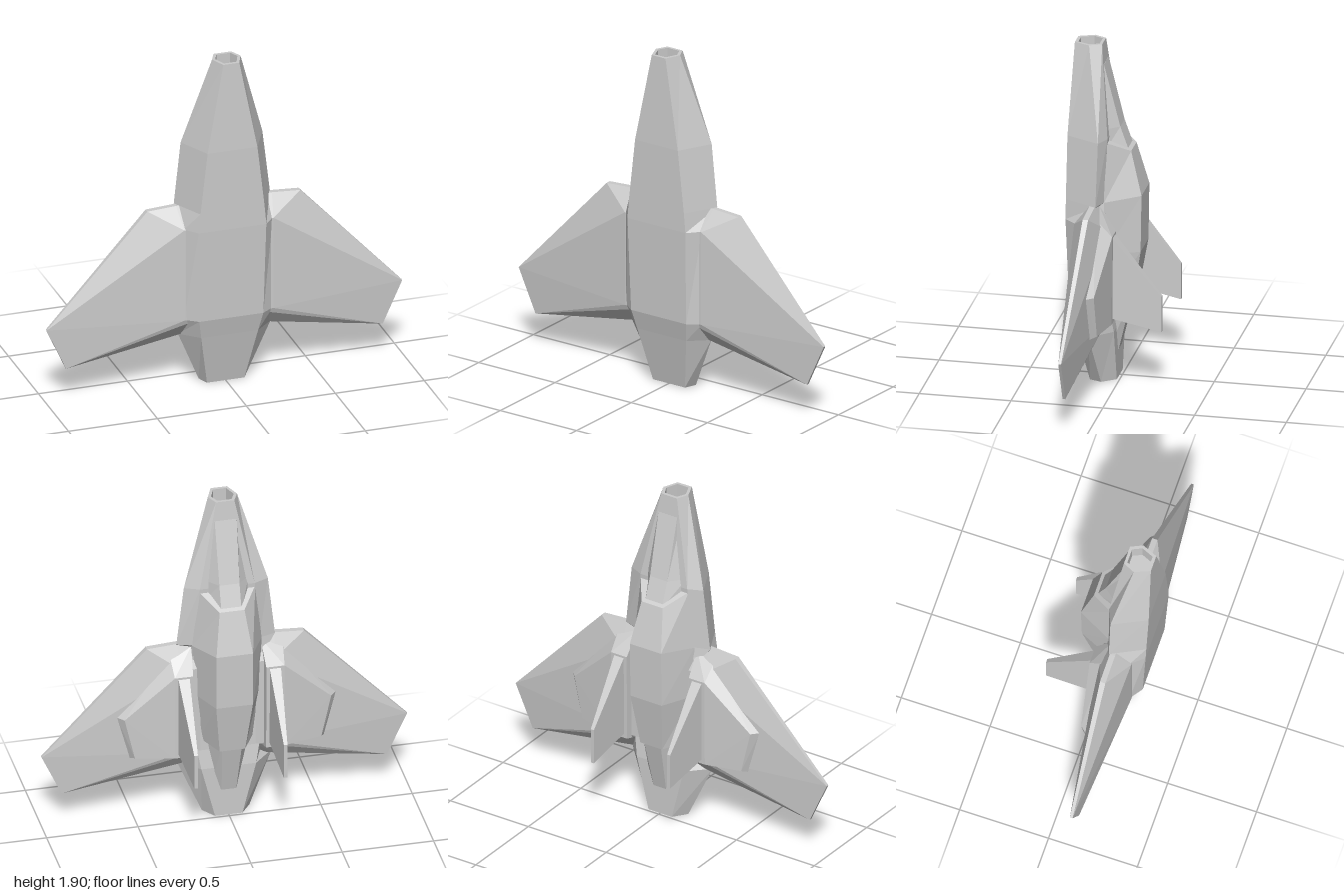
import * as THREE from 'three';
import { ConvexGeometry } from 'three/addons/geometries/ConvexGeometry.js';

const material = new THREE.MeshStandardMaterial({ color: 0xcccccc, flatShading: true });

function part(name, geometry) {
  const mesh = new THREE.Mesh(geometry, material);
  mesh.name = name;
  return mesh;
}

// Skins rings of equal length; each ring runs front, +x side, back, -x side.
function loft(rings) {
  const pos = [];
  const tri = (a, b, c) => pos.push(...a, ...b, ...c);
  const n = rings[0].length;
  for (let i = 0; i < rings.length - 1; i++) {
    for (let j = 0; j < n; j++) {
      const k = (j + 1) % n;
      tri(rings[i][j], rings[i][k], rings[i + 1][k]);
      tri(rings[i][j], rings[i + 1][k], rings[i + 1][j]);
    }
  }
  const first = rings[0], last = rings[rings.length - 1];
  for (let j = 1; j < n - 1; j++) {
    tri(first[0], first[j + 1], first[j]);
    tri(last[0], last[j], last[j + 1]);
  }
  const g = new THREE.BufferGeometry();
  g.setAttribute('position', new THREE.Float32BufferAttribute(pos, 3));
  g.computeVertexNormals();
  return g;
}

// Six-sided section: half-width and z of the front, side and back edges.
const hexRing = (y, f, zf, s, zs, b, zb) => [
  [-f, y, zf], [f, y, zf], [s, y, zs], [b, y, zb], [-b, y, zb], [-s, y, zs],
];

// The same ring shrunk about its centre and moved to another height.
function inset(ring, scale, y) {
  const cz = ring.reduce((sum, p) => sum + p[2], 0) / ring.length;
  return ring.map(([x, , z]) => [x * scale, y, cz + (z - cz) * scale]);
}

// Four-sided section with its own height at the base and at the crest.
const humpRing = (yBase, base, zBase, yTop, top, zTop) => [
  [-base, yBase, zBase], [base, yBase, zBase], [top, yTop, zTop], [-top, yTop, zTop],
];

// Convex solid, mirrored by sign.
const solid = (points, sign) =>
  new ConvexGeometry(points.map(([x, y, z]) => new THREE.Vector3(x * sign, y, z)));

export function createModel() {
  const model = new THREE.Group();
  model.name = 'jet';

  // Fuselage, hollow at the nose tip and the exhaust
  const tail = hexRing(0, 0.105, 0.155, 0.13, 0.09, 0.075, 0.015);
  const nose = hexRing(1.9, 0.045, 0.25, 0.08, 0.165, 0.05, 0.1);
  model.add(part('fuselage', loft([
    inset(tail, 0.82, 0.12),
    inset(tail, 0.82, 0),
    tail,
    hexRing(0.3, 0.16, 0.222, 0.26, 0.13, 0.15, 0.015),
    hexRing(0.41, 0.18, 0.25, 0.25, 0.2, 0.17, 0.03),
    hexRing(0.94, 0.19, 0.27, 0.25, 0.2, 0.19, 0.05),
    hexRing(1.05, 0.18, 0.27, 0.27, 0.09, 0.18, 0.06),
    hexRing(1.4, 0.14, 0.27, 0.23, 0.085, 0.15, 0.05),
    nose,
    inset(nose, 0.78, 1.9),
    inset(nose, 0.78, 1.8),
  ])));

  // Windscreen running down from the nose
  model.add(part('windscreen', loft([
    humpRing(1.3, 0.135, 0.08, 1.3, 0.055, -0.05),
    humpRing(1.44, 0.125, 0.08, 1.44, 0.055, 0.0),
    humpRing(1.79, 0.07, 0.12, 1.79, 0.06, 0.088),
  ])));

  // Dorsal hump with a slanted front rim
  model.add(part('dorsalHump', loft([
    humpRing(0.47, 0.15, 0.06, 0.45, 0.07, -0.07),
    humpRing(0.75, 0.18, 0.06, 0.75, 0.1, -0.12),
    humpRing(1.05, 0.19, 0.06, 1.07, 0.1, -0.125),
    humpRing(1.38, 0.155, 0.06, 1.31, 0.068, -0.062),
  ])));
  model.add(part('tailFairing', loft([
    humpRing(0.16, 0.09, 0.06, 0.16, 0.04, 0.012),
    humpRing(0.48, 0.13, 0.06, 0.48, 0.055, -0.065),
  ])));

  for (const sign of [1, -1]) {
    const side = sign > 0 ? 'left' : 'right';

    // Main wing: thick root tapering to a thin rim
    model.add(part(side + 'Wing', solid([
      [0.25, 0.94, 0.21], [0.25, 0.41, 0.21], [0.15, 0.94, 0.21], [0.15, 0.41, 0.21],
      [0.25, 0.92, 0.03], [0.25, 0.41, 0.03], [0.15, 0.92, 0.03], [0.15, 0.41, 0.03],
      [0.27, 1.05, 0.125], [0.27, 1.05, 0.095], [0.15, 1.05, 0.125], [0.15, 1.05, 0.095],
      [0.43, 1.04, 0.125], [0.43, 1.04, 0.095],
      [1, 0.43, 0.135], [1, 0.43, 0.12], [0.89, 0.19, 0.135], [0.89, 0.19, 0.12],
      [0.26, 0.3, 0.14], [0.26, 0.3, 0.1], [0.15, 0.32, 0.14], [0.15, 0.32, 0.1],
    ], sign)));

    // Raised panel on the back of the wing
    model.add(part(side + 'WingPanel', solid([
      [0.2, 0.9, -0.008], [0.3, 0.9, -0.008], [0.565, 0.65, 0.035], [0.51, 0.41, 0.03],
      [0.3, 0.4, -0.005], [0.2, 0.4, -0.005],
      [0.19, 1.03, 0.085], [0.31, 1.0, 0.08], [0.6, 0.65, 0.075], [0.54, 0.39, 0.08],
      [0.3, 0.38, 0.08], [0.19, 0.38, 0.08],
    ], sign)));

    // Upright fin, thinner at its tip
    const fin = [];
    for (const d of [-1, 1]) {
      fin.push([0.25 + d * 0.032, 0.91, 0.01], [0.25 + d * 0.032, 0.43, 0.01],
        [0.245 + d * 0.01, 0.565, -0.268], [0.245 + d * 0.01, 0.362, -0.268]);
    }
    model.add(part(side + 'Fin', solid(fin, sign)));
  }

  return model;
}
